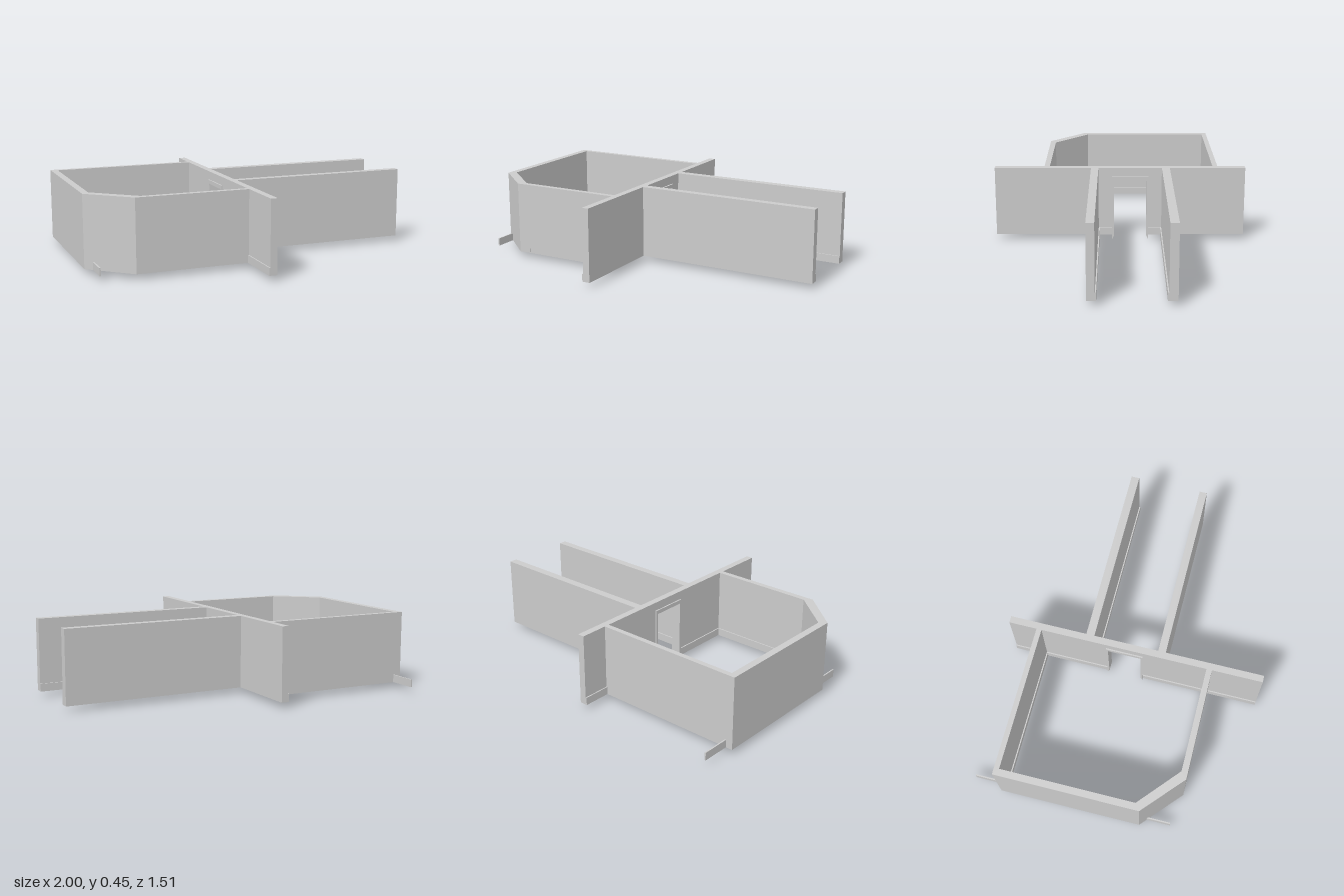
import * as THREE from 'three';

const BASE = 0.03, TOP = 0.45, SKIRT = 0.075;

export function createModel() {
  const group = new THREE.Group();
  const material = new THREE.MeshStandardMaterial({ color: 0xcccccc, flatShading: true });

  const add = (name, geometry) => {
    const mesh = new THREE.Mesh(geometry, material);
    mesh.name = name;
    group.add(mesh);
  };
  const toShape = (points) => new THREE.Shape(points.map(([x, y]) => new THREE.Vector2(x, y)));

  // Upright prism over a plan outline given as [x, z] corners
  const prism = (name, plan, y0, y1) => {
    const geometry = new THREE.ExtrudeGeometry(toShape(plan.map(([x, z]) => [x, -z])), { depth: y1 - y0, bevelEnabled: false });
    geometry.rotateX(-Math.PI / 2).translate(0, y0, 0);
    add(name, geometry);
  };
  const block = (name, x0, x1, z0, z1, y1 = TOP) =>
    prism(name, [[x0, z0], [x1, z0], [x1, z1], [x0, z1]], BASE, y1);

  // Side outline given as [z, y] corners, extruded along x
  const panel = (name, outline, x0, x1) => {
    const geometry = new THREE.ExtrudeGeometry(toShape(outline.map(([z, y]) => [-z, y])), { depth: x1 - x0, bevelEnabled: false });
    geometry.rotateY(Math.PI / 2).translate(x0, 0, 0);
    add(name, geometry);
  };

  // Dividing wall with a doorway
  const doorZ = -0.062;
  const archOutline = (outer, inner, outerTop, innerTop, outerFoot, innerFoot) => [
    [doorZ - outer, outerFoot], [doorZ - outer, outerTop], [doorZ + outer, outerTop], [doorZ + outer, outerFoot],
    [doorZ + inner, innerFoot], [doorZ + inner, innerTop], [doorZ - inner, innerTop], [doorZ - inner, innerFoot],
  ];
  panel('dividingWall', [
    [-0.755, BASE], [-0.755, TOP], [0.755, TOP], [0.755, BASE],
    [doorZ + 0.103, BASE], [doorZ + 0.103, 0.388], [doorZ - 0.103, 0.388], [doorZ - 0.103, BASE],
  ], -0.11, -0.07);

  // Door lining and a trim on each face with mitred feet
  panel('doorLining', archOutline(0.103, 0.098, 0.388, 0.377, BASE, BASE), -0.11, -0.07);
  for (const [x0, x1] of [[-0.118, -0.11], [-0.07, -0.06]])
    panel('doorTrim', archOutline(0.11, 0.098, 0.4, 0.377, 0, 0.025), x0, x1);

  // Room walls with one cut corner
  prism('roomWalls', [
    [-0.11, -0.59], [-1, -0.59], [-1, 0.25], [-0.765, 0.46], [-0.11, 0.457],
    [-0.11, 0.425], [-0.725, 0.425], [-0.96, 0.22], [-0.96, -0.56], [-0.11, -0.56],
  ], BASE, TOP);

  // Corridor walls
  block('corridorBackWall', -0.07, 1, -0.3, -0.252);
  block('corridorFrontWall', -0.07, 1, 0.13, 0.175);

  // Skirting boards; the long side board runs past the room
  block('sideSkirting', -0.96, -0.952, -0.755, 0.425, SKIRT);
  block('backSkirting', -0.96, -0.11, -0.56, -0.553, SKIRT);
  block('frontSkirting', -0.76, -0.11, 0.418, 0.425, SKIRT);
  prism('cornerSkirting', [[-0.96, 0.22], [-0.696, 0.45], [-0.692, 0.461], [-0.692, 0.44], [-0.952, 0.212]], BASE, 0.08);
  block('corridorBackSkirting', -0.07, 1, -0.252, -0.245, SKIRT);
  block('corridorFrontSkirting', -0.07, 1, 0.123, 0.13, SKIRT);
  for (const [z0, z1] of [[-0.755, doorZ - 0.11], [doorZ + 0.11, 0.755]])
    block('dividingSkirting', -0.117, -0.11, z0, z1, SKIRT);
  for (const [z0, z1] of [[-0.245, doorZ - 0.11], [doorZ + 0.11, 0.123]])
    block('corridorEndSkirting', -0.07, -0.063, z0, z1, SKIRT);

  return group;
}
